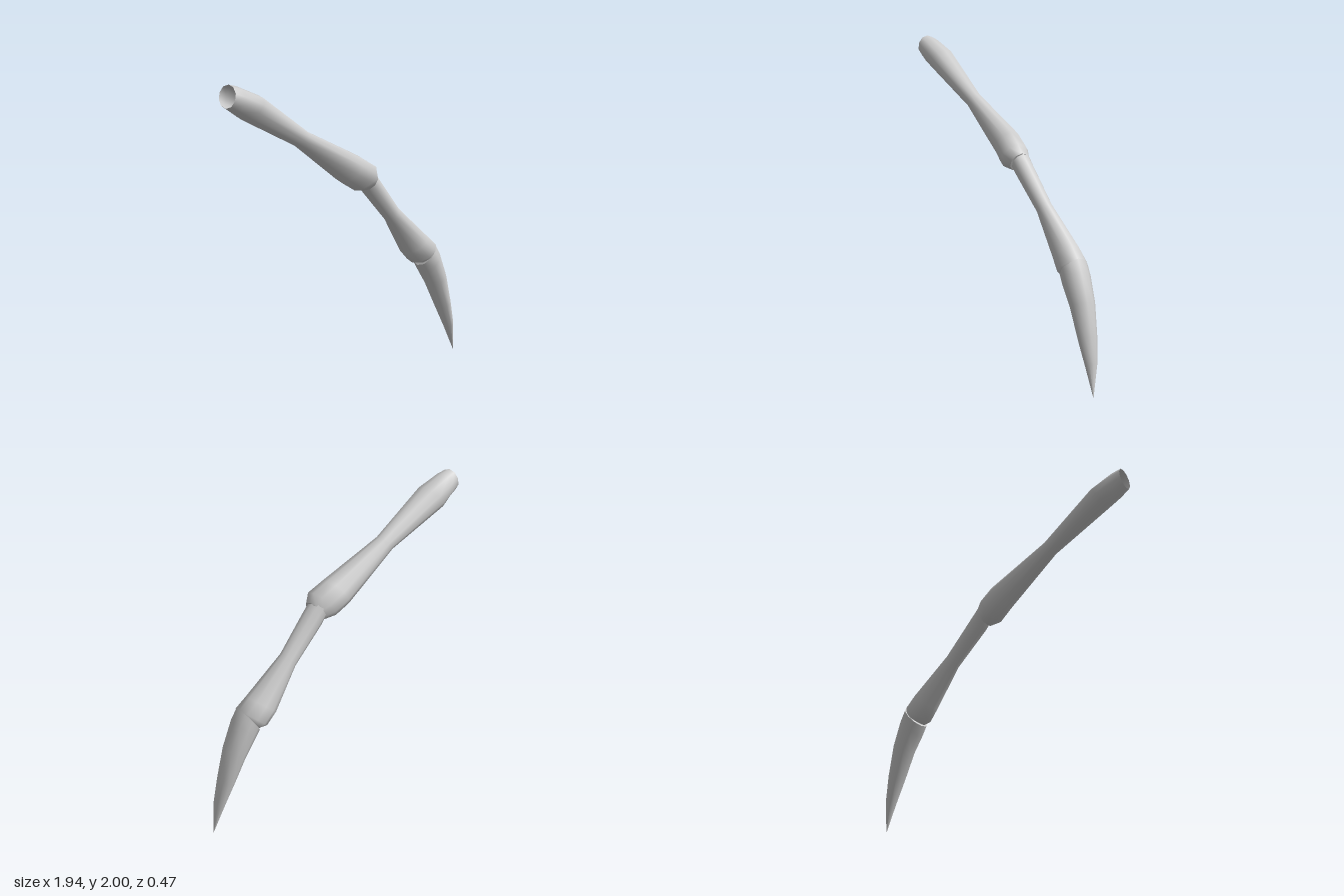
import * as THREE from 'three';

const SIDES = 10;

// Each ring: [upper x, upper y, lower x, lower y, centre z, half width in z]
function loft(name, rings, yaw, capStart, capEnd) {
  const pos = [], index = [];
  const centre = ([ax, ay, bx, by, z]) => [(ax + bx) / 2, (ay + by) / 2, z];
  for (const ring of rings) {
    const [ax, ay, bx, by, , half] = ring;
    const [cx, cy, cz] = centre(ring);
    for (let j = 0; j < SIDES; j++) {
      const a = (j / SIDES) * Math.PI * 2, c = Math.cos(a), s = Math.sin(a) * half;
      pos.push(cx + c * (ax - bx) / 2 + s * yaw, cy + c * (ay - by) / 2, cz + s);
    }
  }
  for (let i = 0; i < rings.length - 1; i++) {
    for (let j = 0; j < SIDES; j++) {
      const k = (j + 1) % SIDES;
      const a = i * SIDES + j, b = i * SIDES + k;
      index.push(a, b, a + SIDES, b, b + SIDES, a + SIDES);
    }
  }
  // Fan that closes an end, with its own vertices to keep the rim crisp
  const cap = (i, flip) => {
    const start = pos.length / 3;
    pos.push(...pos.slice(i * SIDES * 3, (i + 1) * SIDES * 3), ...centre(rings[i]));
    for (let j = 0; j < SIDES; j++) {
      const a = start + j, b = start + (j + 1) % SIDES;
      index.push(start + SIDES, flip ? b : a, flip ? a : b);
    }
  };
  if (capStart) cap(0, true);
  if (capEnd) cap(rings.length - 1, false);

  const geometry = new THREE.BufferGeometry();
  geometry.setAttribute('position', new THREE.Float32BufferAttribute(pos, 3));
  geometry.setIndex(index);
  geometry.computeVertexNormals();
  const mesh = new THREE.Mesh(geometry, new THREE.MeshStandardMaterial({
    color: 0xcccccc, side: THREE.DoubleSide,
  }));
  mesh.name = name;
  return mesh;
}

export function createModel() {
  const leg = new THREE.Group();
  leg.name = 'jointedLeg';

  // Upper segment, open at the body end
  leg.add(loft('upperSegment', [
    [-0.94, 2.00, -0.96, 1.86, 0.17, 0.068],
    [-0.88, 1.985, -0.90, 1.823, 0.157, 0.08],
    [-0.72, 1.92, -0.83, 1.78, 0.128, 0.094],
    [-0.35, 1.67, -0.42, 1.58, 0.058, 0.058],
    [0.07, 1.475, -0.05, 1.31, -0.01, 0.098],
    [0.17, 1.415, 0.05, 1.25, -0.012, 0.103],
    [0.20, 1.36, 0.13, 1.24, -0.025, 0.072],
  ], 0.28, false, true));

  // Middle segment, tucked into the upper joint
  leg.add(loft('middleSegment', [
    [0.17, 1.38, 0.11, 1.27, -0.03, 0.068],
    [0.23, 1.32, 0.155, 1.21, -0.04, 0.066],
    [0.43, 1.09, 0.36, 1.00, -0.09, 0.055],
    [0.69, 0.87, 0.53, 0.75, -0.135, 0.092],
    [0.76, 0.805, 0.60, 0.68, -0.14, 0.102],
    [0.755, 0.76, 0.65, 0.67, -0.143, 0.075],
  ], 0.2, true, true));

  // Curved claw tapering to a point
  leg.add(loft('claw', [
    [0.76, 0.81, 0.645, 0.655, -0.14, 0.093],
    [0.80, 0.74, 0.68, 0.60, -0.142, 0.094],
    [0.87, 0.57, 0.745, 0.50, -0.15, 0.082],
    [0.92, 0.37, 0.83, 0.325, -0.152, 0.064],
    [0.955, 0.21, 0.90, 0.175, -0.152, 0.04],
    [0.97, 0.00, 0.97, 0.00, -0.148, 0.0],
  ], 0.1, true, false));

  return leg;
}
